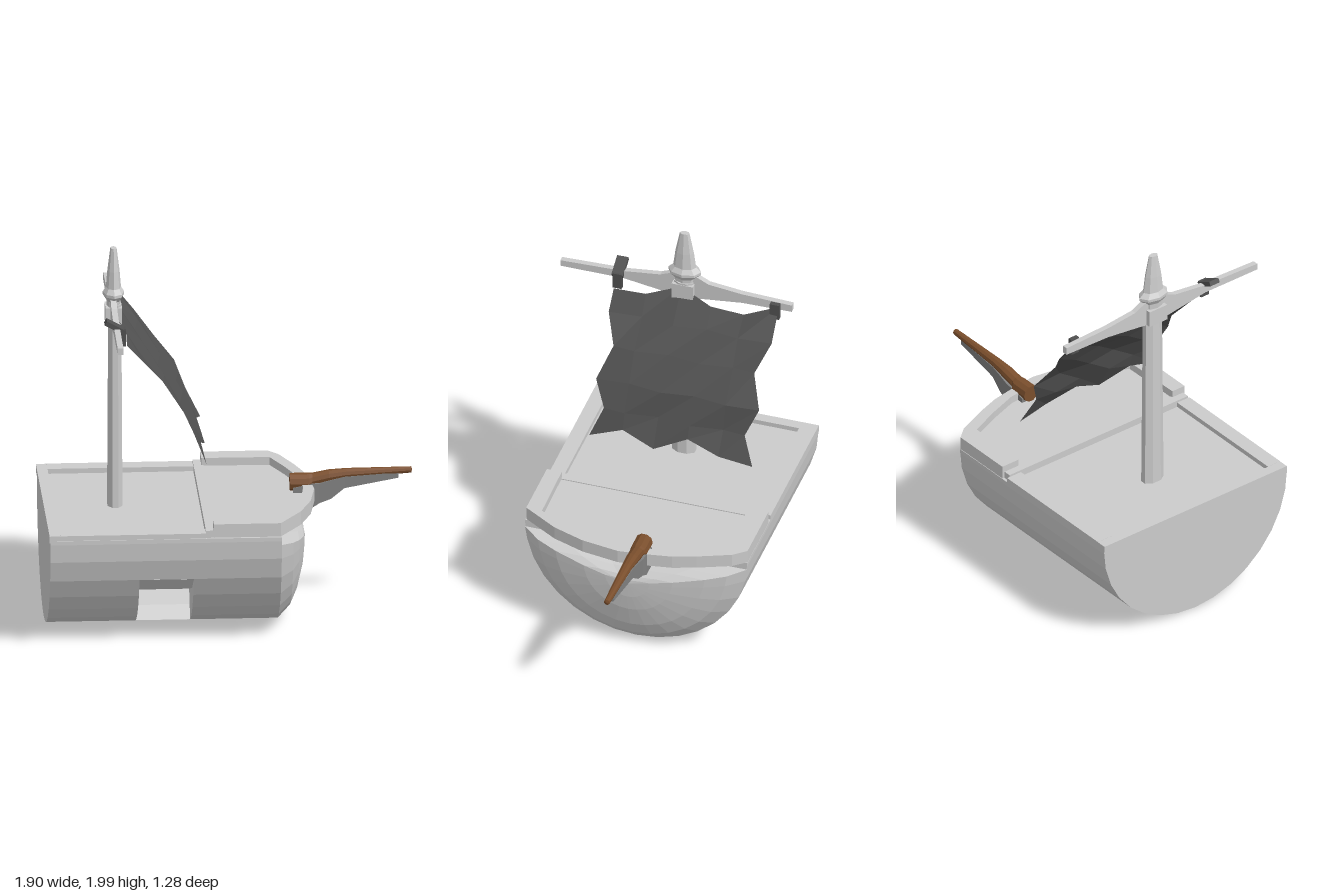
import * as THREE from 'three';

const V = (x, y, z) => new THREE.Vector3(x, y, z);
const material = (color = 0xcccccc) =>
  new THREE.MeshStandardMaterial({ color, flatShading: true, side: THREE.DoubleSide });
const grey = material(), dark = material(0x505050), mid = material(0x808080), brown = material(0x7a4e2c);
const ZC = -0.035, YC = 0.61, R = 0.6; // axis and radius of the half-round hull

// Skin a grid of points (rows of equal length); skip(i, j) leaves a cell open.
function surface(rows, skip = () => false) {
  const n = rows[0].length, index = [];
  for (let i = 0; i < rows.length - 1; i++) {
    for (let j = 0; j < n - 1; j++) {
      if (skip(i, j)) continue;
      const a = i * n + j, b = a + 1, c = a + n, d = c + 1;
      index.push(a, c, b, b, c, d);
    }
  }
  const g = new THREE.BufferGeometry().setFromPoints(rows.flat());
  g.setIndex(index);
  g.computeVertexNormals();
  return g;
}

// Slab from a plan outline of [x, z] points.
function slab(points, y0, y1) {
  const shape = new THREE.Shape(points.map(([x, z]) => new THREE.Vector2(x, -z)));
  return new THREE.ExtrudeGeometry(shape, { depth: y1 - y0, bevelEnabled: false })
    .rotateX(-Math.PI / 2).translate(0, y0, 0);
}

// Plate from a side outline of [z, y] points, spanning x0 to x1.
function plate(points, x0, x1) {
  const shape = new THREE.Shape(points.map(([z, y]) => new THREE.Vector2(-z, y)));
  return new THREE.ExtrudeGeometry(shape, { depth: x1 - x0, bevelEnabled: false })
    .rotateY(Math.PI / 2).translate(x0, 0, 0);
}

const box = (x0, x1, y0, y1, z0, z1) => new THREE.BoxGeometry(x1 - x0, y1 - y0, z1 - z0)
  .translate((x0 + x1) / 2, (y0 + y1) / 2, (z0 + z1) / 2);

export function createModel() {
  const model = new THREE.Group();
  const add = (name, geometry, mat = grey) => {
    const mesh = new THREE.Mesh(geometry, mat);
    mesh.name = name;
    model.add(mesh);
    return mesh;
  };

  // Half-round hull with a recess on the +z side, closed at both ends
  const N = 16;
  const ring = (x, s = 1) => Array.from({ length: N + 1 }, (_, i) => {
    const a = Math.PI * i / N;
    return V(x, YC - R * s * Math.sin(a), ZC + R * s * Math.cos(a));
  });
  add('hull', surface([-0.95, -0.49, -0.21, 0.24].map(x => ring(x)),
    (i, j) => i === 1 && j >= 2 && j < 6));
  add('sternWall', surface([ring(-0.95, 0), ring(-0.95)]));
  add('foreWall', surface([ring(0.24), ring(0.24, 0)]));

  // Recess lining and its two end walls
  const inner = [[0.52, 0.38], [0.36, 0.28], [0.1, 0.19], [0.14, 0.12], [0.195, 0.056]];
  add('recessLining', surface([-0.49, -0.21].map(x => inner.map(([z, y]) => V(x, y, z)))));
  for (const x of [-0.49, -0.21]) {
    add('recessEnd', surface([inner.map(([z, y]) => V(x, y, z)), ring(x).slice(2, 7)]));
  }

  // Bulging bow: shrinking copies of the hull outline stepping forward
  const bowOutline = ring(0.24).map(p => V(p.x, Math.min(p.y, 0.57), p.z));
  for (const z of [-0.4, -0.15, 0.1, 0.35]) bowOutline.push(V(0.24, z === -0.4 || z === 0.35 ? 0.57 : 0.55, z));
  bowOutline.push(bowOutline[0].clone());
  add('bow', surface([1, 0.85, 0.67, 0.4, 0.2, 0].map(s => bowOutline.map(p => V(
    0.24 + 0.15 * Math.pow(1 - s * s, 0.65),
    0.45 + (p.y - 0.45) * s,
    ZC + (p.z - ZC) * s)))));

  // Main deck and its low rails
  add('mainDeck', box(-0.95, 0.24, 0.59, 0.612, ZC - R, ZC + R));
  add('sternRail', box(-0.955, -0.9, 0.6, 0.637, -0.635, 0.56));
  add('leftRail', box(-0.9, -0.15, 0.6, 0.638, 0.48, 0.56));
  add('rightRail', box(-0.9, -0.15, 0.6, 0.638, -0.635, -0.545));
  add('deckStep', box(-0.15, -0.1, 0.6, 0.65, -0.62, 0.55));

  // Raised foredeck and the rail that follows the bow
  const outer = [[-0.11, -0.635], [0.235, -0.635], [0.29, -0.57], [0.36, -0.4], [0.4, -0.28],
    [0.43, -0.1], [0.44, 0], [0.41, 0.2], [0.35, 0.37], [0.235, 0.56], [-0.11, 0.56]];
  const inside = [[-0.11, 0.48], [0.235, 0.475], [0.29, 0.38], [0.36, 0.18], [0.385, -0.03],
    [0.365, -0.2], [0.31, -0.36], [0.24, -0.525], [-0.11, -0.53]];
  add('foredeck', slab(outer, 0.615, 0.645));
  add('foredeckRail', slab([...outer, ...inside], 0.64, 0.687));

  // Mast with a pointed, collared top
  const mast = new THREE.CylinderGeometry(0.056, 0.066, 1.1, 8).rotateY(Math.PI / 8)
    .scale(0.63, 1, 1).translate(-0.585, 1.15, -0.028);
  add('mast', mast);
  const profile = [[0, 1.66], [0.055, 1.68], [0.058, 1.72], [0.088, 1.75], [0.088, 1.765],
    [0.062, 1.79], [0.05, 1.88], [0.026, 2], [0, 2]].map(([r, y]) => new THREE.Vector2(r, y));
  add('mastTop', new THREE.LatheGeometry(profile, 8).scale(0.63, 1, 1).translate(-0.592, 0, -0.028));

  // Yard, deepest where it crosses the mast
  add('yard', plate([[0.64, 1.675], [0.3, 1.685], [0.1, 1.71], [0.03, 1.74], [-0.09, 1.74], [-0.16, 1.705],
    [-0.34, 1.685], [-0.61, 1.675], [-0.61, 1.635], [-0.34, 1.63], [-0.13, 1.605], [-0.03, 1.59],
    [0.07, 1.605], [0.3, 1.64], [0.64, 1.64]], -0.61, -0.58));
  add('yardCollar', box(-0.635, -0.55, 1.6, 1.69, -0.085, 0.03));

  // Ragged sail slanting forward from the yard
  const cols = [0.34, 0.165, -0.01, -0.185, -0.36, -0.54];
  const rowY = [1.6, 1.5, 1.37, 1.22, 1.085, 0.97], rowX = [-0.55, -0.46, -0.355, -0.25, -0.195, -0.15];
  const topY = [1.59, 1.6, 1.65, 1.6, 1.58, 1.65], bottomY = [0.94, 1, 0.94, 1.02, 0.97, 0.94];
  add('sail', surface(rowY.map((y, i) => cols.map((z, j) => {
    const edge = j === 0 ? -1 : j === 5 ? 1 : 0;
    const yy = i === 0 ? topY[j] : i === 5 ? bottomY[j] : y;
    const notch = i === 2 || i === 4 ? 0.06 * edge : 0;
    const ripple = edge ? 0 : ((i + j) % 2 ? 0.012 : -0.012);
    const x = i === 5 ? -0.135 - (yy - 0.94) * 0.1 : rowX[i] - (i === 0 ? (yy - 1.6) * 0.6 : 0);
    return V(x + ripple, yy, z + notch);
  }))), dark);

  // Ties holding the sail corners to the yard
  for (const z of [0.325, -0.525]) {
    add('sailTie', box(-0.575, -0.55, 1.59, 1.68, z - 0.025, z + 0.025), dark);
  }
  const tie = add('sailTieLoop', new THREE.BoxGeometry(0.11, 0.025, 0.06), dark);
  tie.position.set(-0.605, 1.69, 0.325);
  tie.rotation.z = -0.5;

  // Tapered bowsprit made of round sections [x, y, radius]
  const ZS = -0.105;
  const sections = [[0.32, 0.69, 0], [0.32, 0.69, 0.046], [0.42, 0.69, 0.046], [0.435, 0.7, 0.036],
    [0.52, 0.718, 0.034], [0.61, 0.73, 0.028], [0.945, 0.745, 0.016], [0.95, 0.745, 0]];
  add('bowsprit', surface(sections.map(([x, y, r]) => Array.from({ length: 11 }, (_, i) => {
    const a = i / 10 * Math.PI * 2;
    return V(x, y + r * Math.sin(a), ZS + r * Math.cos(a));
  }))), brown);

  // Bracket under the bowsprit, square sections [x, bottom, top, half width]
  const bracket = [[0.335, 0.61, 0.61, 0], [0.335, 0.56, 0.67, 0.047], [0.43, 0.56, 0.69, 0.047],
    [0.47, 0.585, 0.69, 0.042], [0.53, 0.605, 0.705, 0.036], [0.6, 0.66, 0.72, 0.03],
    [0.88, 0.706, 0.735, 0.014], [0.88, 0.72, 0.72, 0]];
  add('bowspritBracket', surface(bracket.map(([x, b, t, w]) =>
    [V(x, b, ZS - w), V(x, b, ZS + w), V(x, t, ZS + w), V(x, t, ZS - w), V(x, b, ZS - w)])), mid);

  return model;
}
